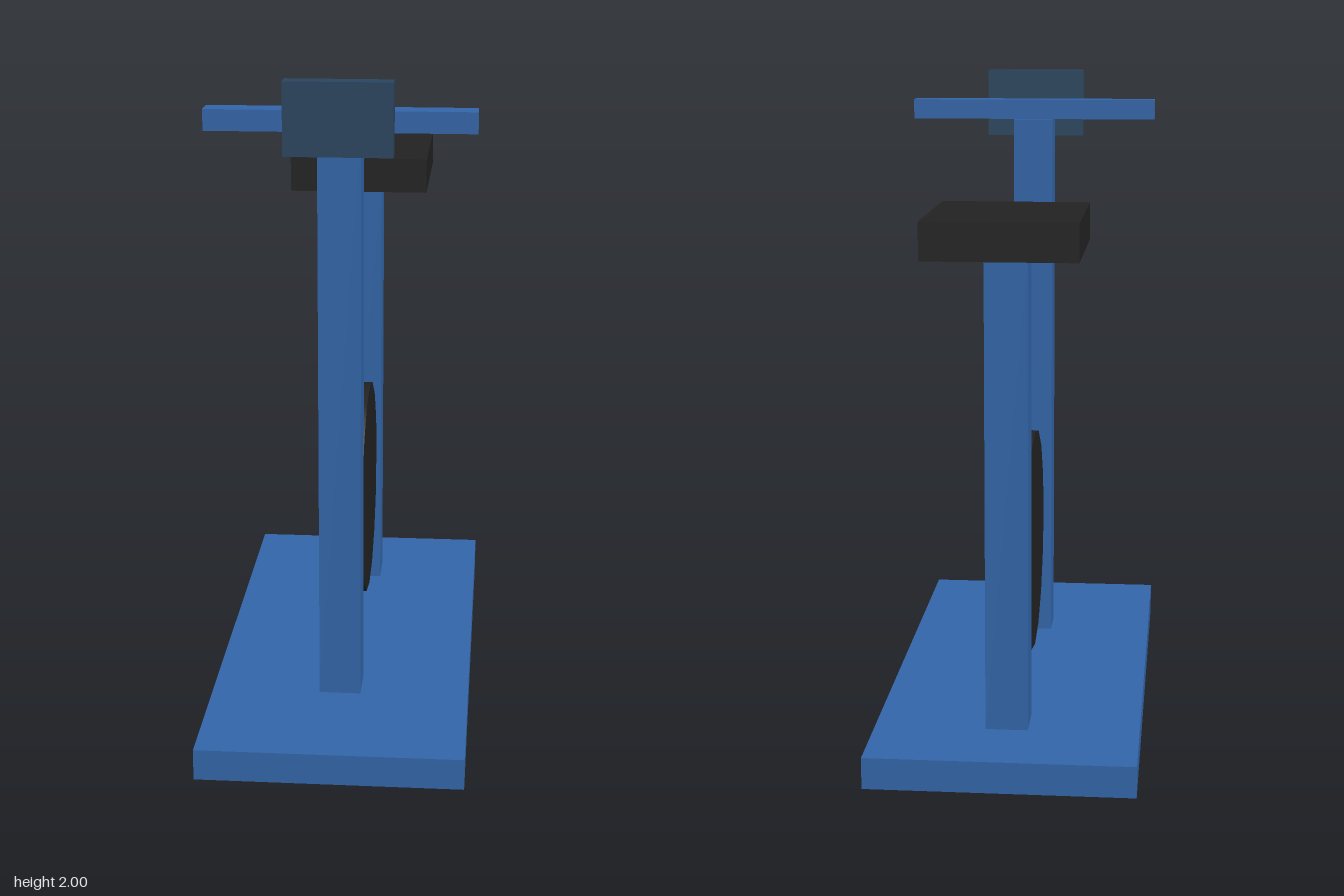
import * as THREE from 'three';

const material = (color) => new THREE.MeshStandardMaterial({ color });

export function createModel() {
  const model = new THREE.Group();
  model.name = 'exerciseBike';

  const frame = material(0x3366aa);
  const dark = material(0x222222);
  const screen = material(0x2a4560);

  // Box centred on x = 0, given its width and its y and z ranges
  const addBox = (name, width, [y0, y1], [z0, z1], mat) => {
    const mesh = new THREE.Mesh(new THREE.BoxGeometry(width, y1 - y0, z1 - z0), mat);
    mesh.name = name;
    mesh.position.set(0, (y0 + y1) / 2, (z0 + z1) / 2);
    model.add(mesh);
  };

  // Base and posts
  addBox('base', 0.794, [0, 0.095], [-0.873, 0.873], frame);
  addBox('frontPost', 0.127, [0.095, 1.845], [0.335, 0.46], frame);
  addBox('seatPost', 0.127, [0.095, 1.53], [-0.618, -0.492], frame);

  // Seat, handlebar and console
  addBox('seat', 0.444, [1.53, 1.64], [-0.826, -0.287], dark);
  addBox('handlebar', 0.794, [1.845, 1.908], [0.357, 0.437], frame);
  addBox('console', 0.317, [1.785, 2], [0.445, 0.508], screen);

  // Flywheel, axle along x, a corner at the top
  const wheel = new THREE.Mesh(new THREE.CylinderGeometry(0.349, 0.349, 0.096, 16), dark);
  wheel.name = 'flywheel';
  wheel.rotation.z = Math.PI / 2;
  wheel.position.set(0, 0.557, -0.158);
  model.add(wheel);

  return model;
}
